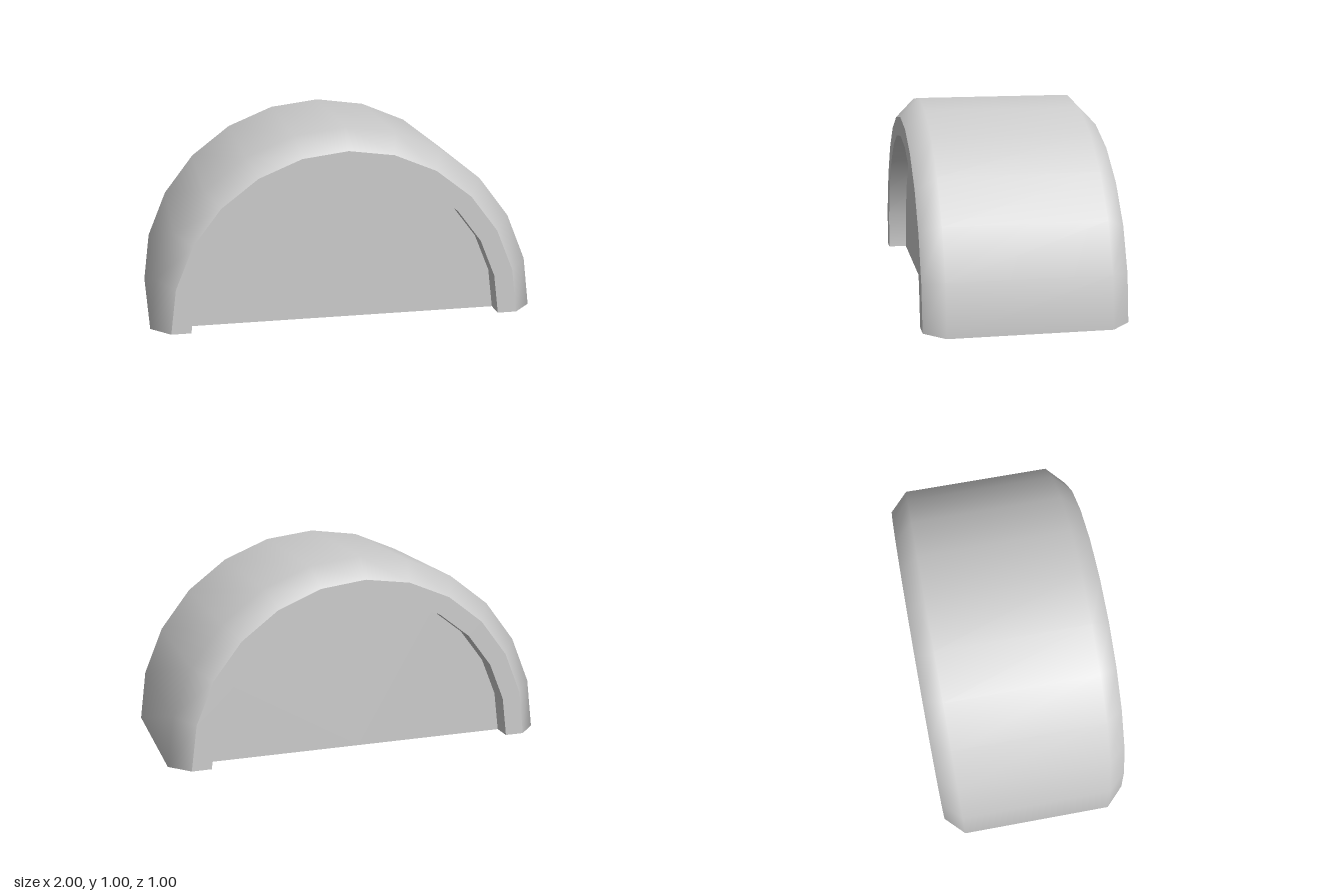
import * as THREE from 'three';

const SEGMENTS = 12;

export function createModel() {
  const model = new THREE.Group();
  const material = new THREE.MeshStandardMaterial({ color: 0xcccccc });

  const add = (name, geometry) => {
    const mesh = new THREE.Mesh(geometry, material);
    mesh.name = name;
    model.add(mesh);
  };

  // Sweeps a [radius, z] profile over the upper half turn around the z axis
  const halfTurn = (name, profile) => {
    const points = profile.map(([r, z]) => new THREE.Vector2(r, z));
    const geometry = new THREE.LatheGeometry(points, SEGMENTS, Math.PI / 2, Math.PI);
    add(name, geometry.rotateX(Math.PI / 2));
  };

  // Barrel with chamfered ends, shaded smoothly across the chamfers
  halfTurn('barrel', [[0.9, -0.5], [1, -0.4], [1, 0.4], [0.9, 0.5]]);

  // Rim, recess wall and recessed panel at each end
  halfTurn('frontRim', [[0.9, 0.5], [0.8, 0.5]]);
  halfTurn('frontRecessWall', [[0.8, 0.5], [0.8, 0.4]]);
  halfTurn('frontPanel', [[0.8, 0.4], [0, 0.4]]);
  halfTurn('backPanel', [[0, -0.4], [0.8, -0.4]]);
  halfTurn('backRecessWall', [[0.8, -0.4], [0.8, -0.5]]);
  halfTurn('backRim', [[0.8, -0.5], [0.9, -0.5]]);

  // Flat underside following the section outline, mirrored in x
  const side = [[0.8, -0.4], [0.8, -0.5], [0.9, -0.5], [1, -0.4],
    [1, 0.4], [0.9, 0.5], [0.8, 0.5], [0.8, 0.4]];
  const mirrored = side.map(([x, z]) => [-x, z]).reverse();
  const outline = [...side, ...mirrored].map(([x, z]) => new THREE.Vector2(x, z));
  add('underside', new THREE.ShapeGeometry(new THREE.Shape(outline)).rotateX(Math.PI / 2));

  return model;
}
